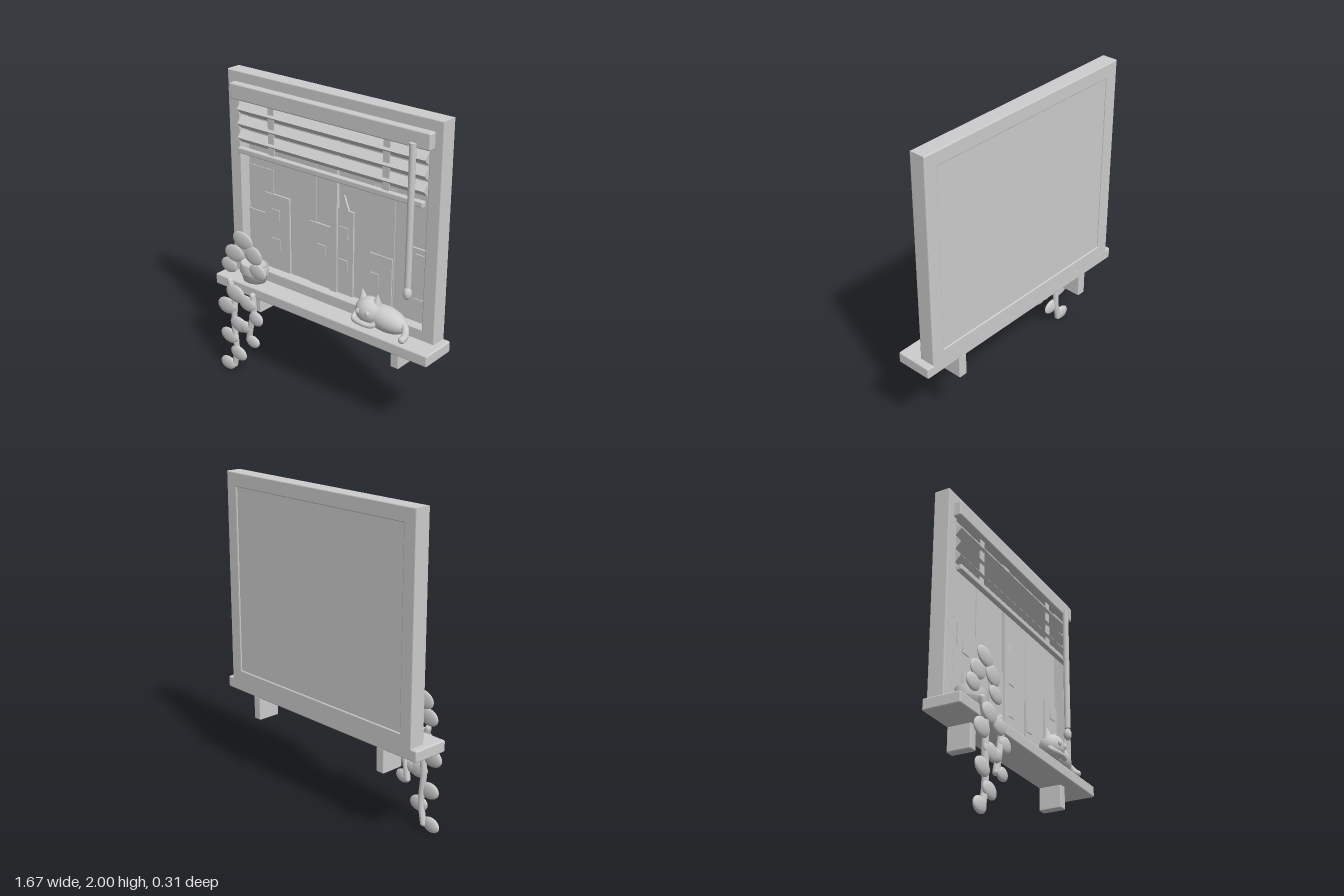
import * as THREE from 'three';
import { RoundedBoxGeometry } from 'three/addons/geometries/RoundedBoxGeometry.js';

const grey = new THREE.MeshStandardMaterial({ color: 0xcccccc });
grey.name = 'light grey';

const OFF = -0.004; // the frame sits slightly off the centre line

function add(parent, name, geometry, x = 0, y = 0, z = 0) {
  const mesh = new THREE.Mesh(geometry, grey);
  mesh.name = name;
  mesh.position.set(x, y, z);
  parent.add(mesh);
  return mesh;
}

// Box given by its limits, with softly rounded edges when r > 0
function box(parent, name, [x0, x1], [y0, y1], [z0, z1], r = 0) {
  const size = [x1 - x0, y1 - y0, z1 - z0];
  const geometry = r ? new RoundedBoxGeometry(...size, 2, r) : new THREE.BoxGeometry(...size);
  return add(parent, name, geometry, (x0 + x1) / 2, (y0 + y1) / 2, (z0 + z1) / 2);
}

function ellipsoid(parent, name, [x, y, z], [rx, ry, rz], tilt = 0) {
  const mesh = add(parent, name, new THREE.SphereGeometry(1, 28, 18), x, y, z);
  mesh.scale.set(rx, ry, rz);
  mesh.rotation.z = tilt;
  return mesh;
}

// Tube along a smooth path with round ends
function rope(parent, name, points, r) {
  const path = points.map((p) => new THREE.Vector3(...p));
  add(parent, name, new THREE.TubeGeometry(new THREE.CatmullRomCurve3(path), 32, r, 12), 0, 0, 0);
  for (const p of [path[0], path[path.length - 1]]) {
    add(parent, name + 'End', new THREE.SphereGeometry(r, 12, 10), p.x, p.y, p.z);
  }
}

function group(parent, name) {
  const g = new THREE.Group();
  g.name = name;
  parent.add(g);
  return g;
}

function buildWindow(root) {
  const g = group(root, 'window');
  // Frame with one opening
  const b = 0.006;
  const rect = (P, x0, x1, y0, y1) => new P([
    new THREE.Vector2(x0, y0), new THREE.Vector2(x1, y0),
    new THREE.Vector2(x1, y1), new THREE.Vector2(x0, y1)]);
  const shape = rect(THREE.Shape, -0.791 + b, 0.791 - b, 0.64 + b, 2 - b);
  shape.holes.push(rect(THREE.Path, -0.703 - b, 0.703 + b, 0.722 - b, 1.91 + b));
  const frame = new THREE.ExtrudeGeometry(shape, {
    depth: 0.105 - 2 * b, bevelSize: b, bevelThickness: b, bevelSegments: 2 });
  add(g, 'frame', frame, OFF, 0, -0.155 + b);
  box(g, 'pane', [-0.72, 0.71], [0.71, 1.92], [-0.147, -0.125]);
  box(g, 'mullion', [-0.03, 0.023], [0.71, 1.92], [-0.13, -0.1]);
  // Sill and its two brackets
  box(g, 'sill', [-0.839, 0.833], [0.58, 0.653], [-0.155, 0.085], 0.01);
  for (const s of [-1, 1]) {
    const x = OFF + s * 0.552;
    box(g, 'bracket', [x - 0.03, x + 0.03], [0.43, 0.585], [-0.153, 0], 0.008);
  }
}

function buildSkyline(root) {
  const g = group(root, 'skyline');
  // Far buildings: left, right, top
  for (const [x0, x1, top] of [[-0.705, -0.5, 1.39], [-0.35, -0.15, 1.6], [0.28, 0.437, 1.5]]) {
    box(g, 'farBuilding', [x0, x1], [0.715, top], [-0.126, -0.12]);
  }
  // Near buildings
  const near = [[-0.705, -0.567, 1.09], [-0.567, -0.365, 1.235], [-0.2, -0.02, 1.14],
    [0, 0.14, 1.283], [0.265, 0.43, 1.066], [0.527, 0.7, 1.19]];
  for (const [x0, x1, top] of near) {
    box(g, 'nearBuilding', [x0, x1], [0.715, top], [-0.126, -0.112]);
  }
  const spire = new THREE.Shape([
    new THREE.Vector2(-0.038, 0), new THREE.Vector2(0.038, 0), new THREE.Vector2(0, 0.097)]);
  add(g, 'spire', new THREE.ExtrudeGeometry(spire, { depth: 0.014, bevelEnabled: false }), 0.068, 1.28, -0.126);
  // Lit windows
  for (const [x, y] of [[-0.478, 1.1], [-0.478, 0.9], [-0.106, 0.97], [0.07, 1.135],
    [0.07, 0.92], [0.305, 0.905], [0.63, 1.12], [0.63, 0.835]]) {
    box(g, 'buildingWindow', [x - 0.034, x + 0.034], [y - 0.037, y + 0.037], [-0.113, -0.106]);
  }
}

function buildBlind(root) {
  const g = group(root, 'blind');
  box(g, 'headrail', [-0.741, 0.734], [1.833, 1.934], [-0.06, -0.003], 0.01);
  // Tilted slats
  for (let i = 0; i < 3; i++) {
    const slat = add(g, 'slat', new THREE.BoxGeometry(1.395, 0.053, 0.062), OFF, 1.773 - i * 0.091, -0.061);
    slat.rotation.x = 0.8;
  }
  box(g, 'bottomRail', [-0.7, 0.692], [1.49, 1.527], [-0.052, -0.015], 0.008);
  for (const s of [-1, 1]) {
    const x = OFF + s * 0.431;
    box(g, 'ladderTape', [x - 0.023, x + 0.023], [1.5, 1.85], [-0.041, -0.033]);
  }
  // Tilt wand with a drop-shaped tip
  add(g, 'wand', new THREE.CylinderGeometry(0.02, 0.02, 0.865, 16), 0.627, 1.43, 0.002);
  ellipsoid(g, 'wandTip', [0.627, 0.957, 0.002], [0.026, 0.04, 0.026]);
}

function buildPlant(root) {
  const g = group(root, 'plant');
  const pot = new THREE.LatheGeometry([[0, 0.652], [0.08, 0.652], [0.095, 0.71], [0.103, 0.712],
    [0.103, 0.77], [0.09, 0.77], [0.088, 0.755], [0, 0.755]].map((p) => new THREE.Vector2(...p)), 32);
  add(g, 'pot', pot, -0.58, 0, -0.01).scale.z = 0.8;
  // Upright leaves: x, y, half width, half height
  const upper = [[-0.585, 0.96, 0.085, 0.058], [-0.664, 0.85, 0.08, 0.058], [-0.5, 0.88, 0.074, 0.062],
    [-0.712, 0.754, 0.069, 0.052], [-0.463, 0.775, 0.07, 0.052]];
  // Leaves on the trailing stems
  const lower = [[-0.616, 0.595, 0.08, 0.06], [-0.696, 0.484, 0.08, 0.058], [-0.516, 0.558, 0.07, 0.053],
    [-0.442, 0.47, 0.058, 0.05], [-0.595, 0.378, 0.074, 0.053], [-0.542, 0.378, 0.058, 0.043],
    [-0.685, 0.267, 0.074, 0.053], [-0.474, 0.293, 0.055, 0.042], [-0.606, 0.16, 0.069, 0.05],
    [-0.706, 0.052, 0.064, 0.048]];
  upper.forEach(([x, y, w, h], i) => ellipsoid(g, 'leaf', [x, y, 0.083], [w, h, 0.016], i % 2 ? 0.12 : -0.12));
  lower.forEach(([x, y, w, h], i) => ellipsoid(g, 'trailingLeaf', [x, y, 0.133], [w, h, 0.02], i % 2 ? 0.1 : -0.1));
  rope(g, 'longStem', [[-0.675, 0.665, 0.12], [-0.64, 0.54, 0.122], [-0.645, 0.36, 0.125],
    [-0.635, 0.18, 0.122], [-0.658, 0.05, 0.12]], 0.02);
  rope(g, 'shortStem', [[-0.48, 0.62, 0.12], [-0.47, 0.52, 0.122], [-0.495, 0.41, 0.125], [-0.52, 0.29, 0.122]], 0.02);
}

function buildCat(root) {
  const g = group(root, 'cat');
  ellipsoid(g, 'body', [0.475, 0.738, -0.005], [0.15, 0.078, 0.075], -0.1);
  ellipsoid(g, 'head', [0.37, 0.77, 0.015], [0.09, 0.083, 0.078]);
  // Ears and eyes
  for (const s of [-1, 1]) {
    const ear = add(g, 'ear', new THREE.ConeGeometry(0.031, 0.075, 16), 0.37 + s * 0.053, 0.855, 0.01);
    ear.rotation.z = -s * 0.12;
    ellipsoid(g, 'eye', [0.37 + s * 0.034, 0.778, 0.085], [0.016, 0.02, 0.012]);
  }
  // Folded front paws and curled tail
  rope(g, 'paws', [[0.29, 0.735, 0.04], [0.295, 0.712, 0.07], [0.365, 0.706, 0.085],
    [0.43, 0.708, 0.07], [0.445, 0.735, 0.045]], 0.017);
  rope(g, 'tail', [[0.6, 0.745, -0.01], [0.632, 0.725, 0.015], [0.644, 0.695, 0.04], [0.64, 0.682, 0.06]], 0.022);
}

export function createModel() {
  const root = new THREE.Group();
  root.name = 'windowWithCat';
  for (const build of [buildWindow, buildSkyline, buildBlind, buildPlant, buildCat]) build(root);
  return root;
}
